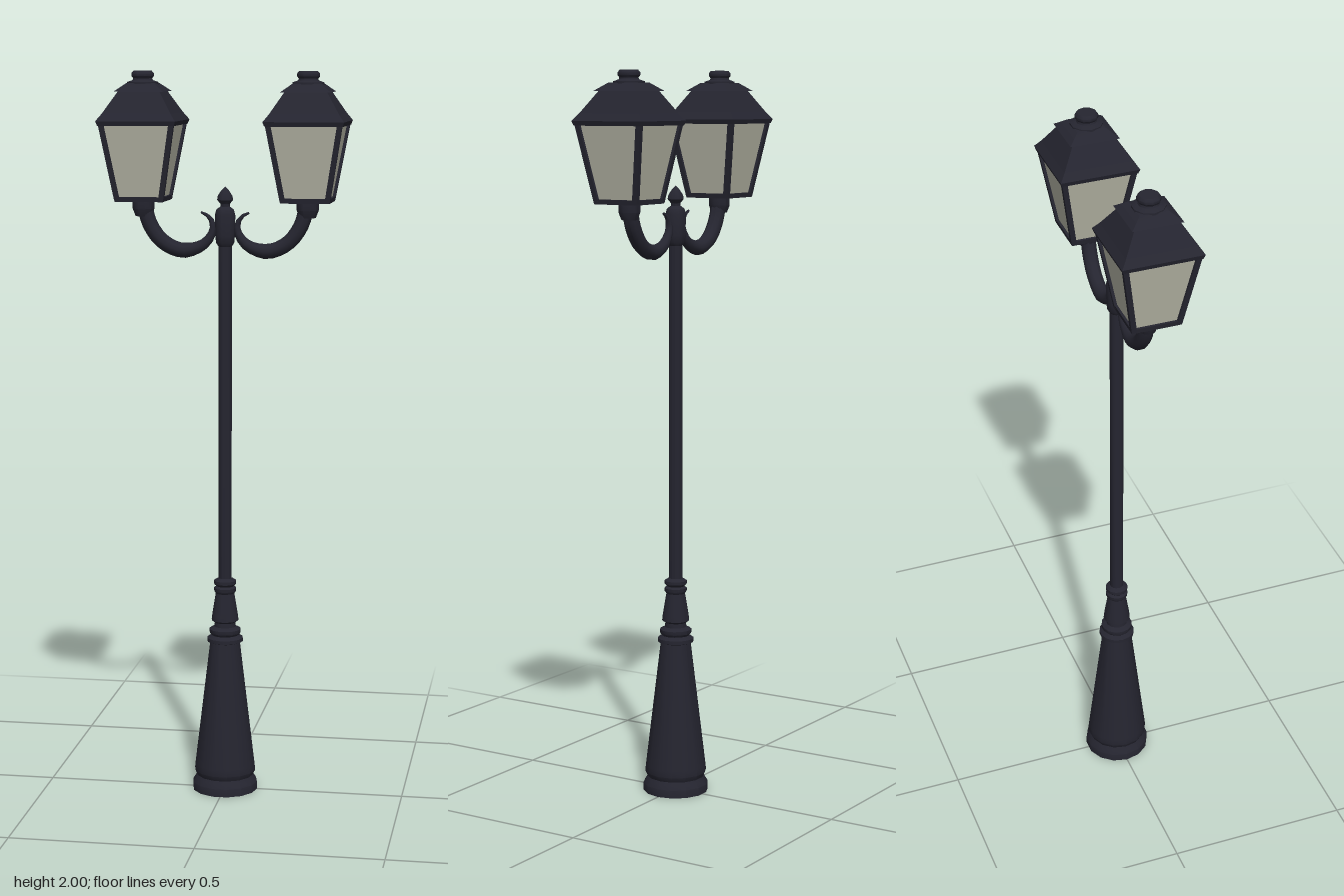
import * as THREE from 'three';
import { toCreasedNormals } from 'three/addons/utils/BufferGeometryUtils.js';

const iron = new THREE.MeshStandardMaterial({ color: 0x252530 });
iron.name = 'dark iron';
const glass = new THREE.MeshStandardMaterial({ color: 0xb5b5a5 });
glass.name = 'frosted glass';

const CREASE = 0.7;

function add(parent, name, geometry, material = iron) {
  const mesh = new THREE.Mesh(geometry, material);
  mesh.name = name;
  parent.add(mesh);
  return mesh;
}

// Turned part from [radius, height] pairs, with a corner on the x axis
function turned(profile, sides) {
  const points = profile.map(([r, y]) => new THREE.Vector2(r, y));
  const g = new THREE.LatheGeometry(points, sides);
  g.rotateY(Math.PI / 2);
  return toCreasedNormals(g, CREASE);
}

// Square frustum given half widths at the bottom and top
function frustum(bottom, top, y0, y1, open = false) {
  const g = new THREE.CylinderGeometry(top * Math.SQRT2, bottom * Math.SQRT2, y1 - y0, 4, 1, open);
  g.rotateY(Math.PI / 4);
  g.translate(0, (y0 + y1) / 2, 0);
  return toCreasedNormals(g, CREASE);
}

// Leaning corner bar: a box sheared outward as it rises
function cornerBar(sx, sz, bottom, top, y0, y1) {
  const g = new THREE.BoxGeometry(0.014, y1 - y0, 0.014);
  const p = g.attributes.position;
  for (let i = 0; i < p.count; i++) {
    const half = p.getY(i) > 0 ? top : bottom;
    p.setXYZ(i, p.getX(i) + sx * half, p.getY(i) + (y0 + y1) / 2, p.getZ(i) + sz * half);
  }
  g.computeVertexNormals();
  return g;
}

// Curved arm whose radius grows from a fine curled tip
function armGeometry() {
  const curve = new THREE.CatmullRomCurve3([
    [0.066, 1.622], [0.042, 1.608], [0.033, 1.575], [0.058, 1.536], [0.115, 1.518],
    [0.17, 1.54], [0.208, 1.59], [0.225, 1.66],
  ].map(([x, y]) => new THREE.Vector3(x, y, 0)));
  const steps = 20, sides = 10;
  const g = new THREE.TubeGeometry(curve, steps, 1, sides, false);
  const p = g.attributes.position;
  const v = new THREE.Vector3();
  for (let i = 0; i < p.count; i++) {
    const t = Math.floor(i / (sides + 1)) / steps;
    const radius = 0.003 + 0.018 * Math.min(1, t / 0.45);
    const c = curve.getPointAt(t);
    v.fromBufferAttribute(p, i).sub(c).multiplyScalar(radius).add(c);
    p.setXYZ(i, v.x, v.y, v.z);
  }
  g.computeVertexNormals();
  return toCreasedNormals(g, 1);
}

function lantern() {
  const lamp = new THREE.Group();
  lamp.name = 'lantern';

  // Socket and floor
  add(lamp, 'socket', turned([[0, 1.61], [0.022, 1.61], [0.03, 1.63], [0.03, 1.655], [0, 1.655]], 10));
  add(lamp, 'lanternFloor', frustum(0.066, 0.068, 1.652, 1.665));

  // Glass and its frame
  add(lamp, 'glassPanes', frustum(0.06, 0.095, 1.66, 1.862, true), glass);
  for (const sx of [-1, 1]) {
    for (const sz of [-1, 1]) {
      add(lamp, 'cornerBar', cornerBar(sx, sz, 0.06, 0.096, 1.655, 1.862));
    }
  }

  // Flared roof, overhanging cap and round vent
  add(lamp, 'eave', frustum(0.104, 0.108, 1.856, 1.868));
  add(lamp, 'lowerRoof', frustum(0.108, 0.093, 1.868, 1.888));
  add(lamp, 'upperRoof', frustum(0.093, 0.057, 1.888, 1.945));
  add(lamp, 'roofCap', frustum(0.067, 0.038, 1.945, 1.967));
  add(lamp, 'vent', turned([
    [0, 1.955], [0.03, 1.955], [0.043, 1.964], [0.043, 1.97], [0.028, 1.975],
    [0.026, 1.98], [0.031, 1.986], [0.031, 1.993], [0.025, 2], [0, 2],
  ], 10));

  lamp.position.x = 0.225;
  return lamp;
}

export function createModel() {
  const model = new THREE.Group();
  model.name = 'streetLamp';

  // Tapered pedestal with rings
  add(model, 'pedestal', turned([
    [0, 0], [0.091, 0], [0.091, 0.022], [0.083, 0.034], [0.079, 0.042], [0.086, 0.056],
    [0.084, 0.075], [0.042, 0.425], [0.05, 0.428], [0.05, 0.438], [0.038, 0.446],
    [0.044, 0.453], [0.044, 0.463], [0.03, 0.47], [0.029, 0.482], [0.038, 0.488],
    [0.036, 0.505], [0.026, 0.565], [0.031, 0.572], [0.031, 0.58], [0.024, 0.585],
    [0.031, 0.592], [0.031, 0.601], [0.019, 0.608],
  ], 14));

  add(model, 'post', turned([[0.0185, 0.6], [0.0185, 1.55]], 14));

  // Collar and pointed finial
  add(model, 'finial', turned([
    [0.0185, 1.53], [0.025, 1.54], [0.027, 1.56], [0.028, 1.615], [0.024, 1.63],
    [0.013, 1.638], [0.013, 1.645], [0.022, 1.656], [0.02, 1.667], [0.01, 1.682], [0, 1.692],
  ], 14));

  // Opposite arms with lanterns
  const arm = armGeometry();
  for (const side of ['left', 'right']) {
    const branch = new THREE.Group();
    branch.name = side + 'Branch';
    add(branch, 'curvedArm', arm);
    branch.add(lantern());
    if (side === 'right') branch.rotation.y = Math.PI;
    model.add(branch);
  }
  return model;
}
